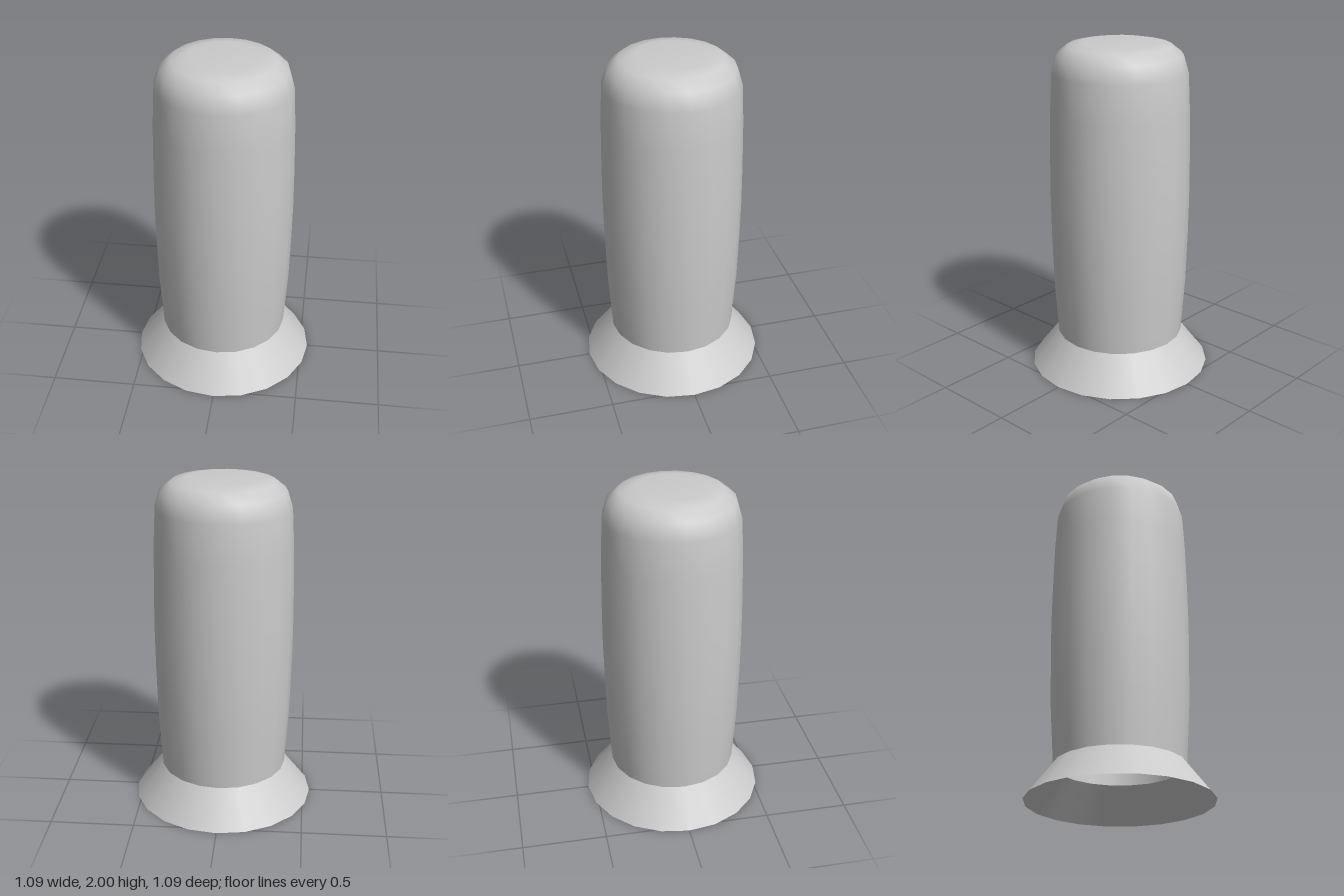
import * as THREE from 'three';

const SIDES = 20;

// Open shell turned about the y axis from [radius, height] pairs, bottom to top
function turned(name, profile, material) {
  const points = profile.map(([r, y]) => new THREE.Vector2(r, y));
  const mesh = new THREE.Mesh(new THREE.LatheGeometry(points, SIDES), material);
  mesh.name = name;
  return mesh;
}

export function createModel() {
  const group = new THREE.Group();
  group.name = 'flaredCap';
  const material = new THREE.MeshStandardMaterial({ color: 0xcccccc, side: THREE.DoubleSide });

  // Flared skirt, open underneath
  group.add(turned('skirt', [[0.545, 0], [0.383, 0.21]], material));

  // Hollow, slightly bulging body with a rounded closed top
  group.add(turned('body', [
    [0.383, 0.21], [0.405, 0.55], [0.413, 0.85], [0.416, 1.08], [0.414, 1.3],
    [0.408, 1.6], [0.396, 1.83], [0.366, 1.93], [0.3, 1.982], [0.21, 2], [0, 2],
  ], material));

  return group;
}
